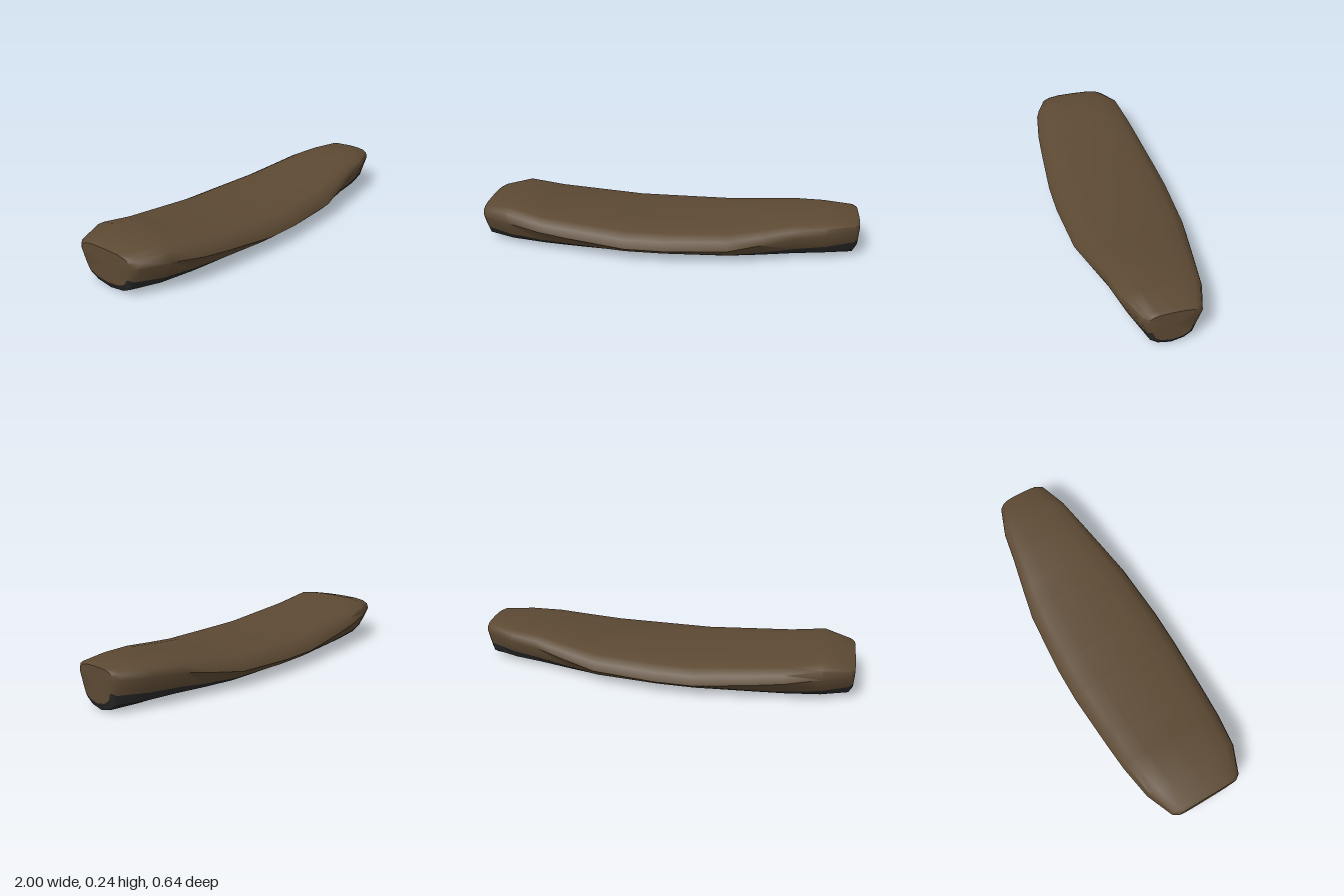
import * as THREE from 'three';
import { toCreasedNormals } from 'three/addons/utils/BufferGeometryUtils.js';

// Stations along the length: x, half width, rim height, top height, seam height, underside height
const stations = [
  [-1.0, 0.17, 0.155, 0.2, 0.09, 0.035],
  [-0.98, 0.2, 0.155, 0.209, 0.08, 0],
  [-0.84, 0.26, 0.155, 0.238, 0.066, 0],
  [-0.66, 0.288, 0.125, 0.202, 0.053, 0],
  [-0.5, 0.3, 0.105, 0.188, 0.044, 0],
  [-0.2, 0.318, 0.074, 0.162, 0.033, 0],
  [0, 0.318, 0.074, 0.162, 0.033, 0],
  [0.33, 0.296, 0.085, 0.17, 0.037, 0],
  [0.5, 0.262, 0.115, 0.19, 0.05, 0],
  [0.67, 0.226, 0.148, 0.212, 0.068, 0],
  [0.83, 0.197, 0.16, 0.218, 0.08, 0],
  [0.98, 0.142, 0.17, 0.22, 0.095, 0],
  [1.0, 0.116, 0.17, 0.213, 0.108, 0.037],
];

// Half profiles as [share of half width, share of height], going inward
const upper = [[1, 0], [0.95, 0.52], [0.79, 0.81], [0.52, 0.96], [0, 1]];
const lower = [[0.82, 1], [0.7, 0.45], [0.44, 0.15], [0, 0]];

const mirror = (half) => [...half, ...half.slice(0, -1).reverse().map(([z, y]) => [-z, y])];

// Padded shell from seam to seam over the top (+z to -z)
function shellRing([x, w, rim, top, seam]) {
  const arc = mirror(upper).map(([z, y]) => [x, rim + (top - rim) * y, z * w]);
  return [[x, seam, 0.82 * w], ...arc, [x, seam, -0.82 * w]];
}

// Underside from seam to seam (-z to +z)
function baseRing([x, w, , , seam, bottom]) {
  return mirror(lower).map(([z, y]) => [x, bottom + (seam - bottom) * y, -z * w]);
}

// Skin consecutive rings with outward-facing triangles
function loft(rings) {
  const out = [];
  for (let i = 0; i < rings.length - 1; i++) {
    const a = rings[i], b = rings[i + 1];
    for (let j = 0; j < a.length - 1; j++) {
      out.push(...a[j], ...b[j], ...a[j + 1], ...b[j], ...b[j + 1], ...a[j + 1]);
    }
  }
  return out;
}

// Close one end with a fan
function endCap(station, positive) {
  const ring = [...shellRing(station), ...baseRing(station).slice(1, -1)];
  const centre = [station[0], 0.13, 0];
  const out = [];
  ring.forEach((p, i) => {
    const q = ring[(i + 1) % ring.length];
    out.push(...centre, ...(positive ? [...q, ...p] : [...p, ...q]));
  });
  return out;
}

function part(name, positions, material, crease) {
  const geometry = new THREE.BufferGeometry();
  geometry.setAttribute('position', new THREE.Float32BufferAttribute(positions, 3));
  const mesh = new THREE.Mesh(toCreasedNormals(geometry, crease), material);
  mesh.name = name;
  return mesh;
}

export function createModel() {
  const leather = new THREE.MeshStandardMaterial({ color: 0x5c4933 });
  leather.name = 'brown leather';
  const rubber = new THREE.MeshStandardMaterial({ color: 0x2b2b2b });
  rubber.name = 'dark underside';

  const group = new THREE.Group();
  group.name = 'seatPad';

  // Brown padding with both end faces
  const padding = [
    ...loft(stations.map(shellRing)),
    ...endCap(stations[0], false),
    ...endCap(stations[stations.length - 1], true),
  ];
  group.add(part('padding', padding, leather, 0.8));

  // Dark rounded underside
  group.add(part('underside', loft(stations.map(baseRing)), rubber, 0.7));
  return group;
}
